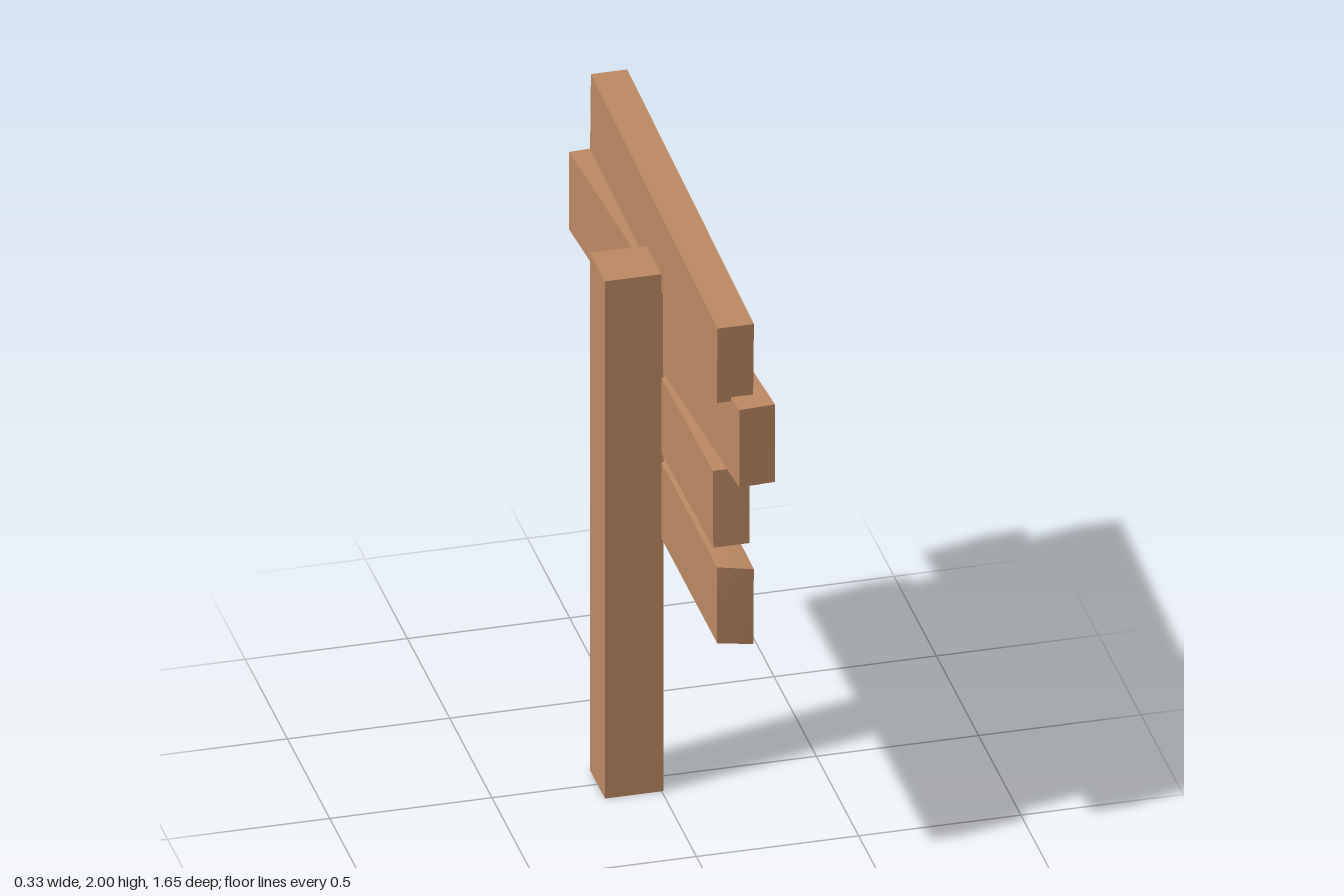
import * as THREE from 'three';

const wood = new THREE.MeshStandardMaterial({ color: 0xbe8a64 });
wood.name = 'wood';
const facing = new THREE.MeshStandardMaterial({ color: 0xc8c8c8 });
facing.name = 'pale facing';
const paint = new THREE.MeshStandardMaterial({ color: 0x0e0e0e });
paint.name = 'black paint';

const THICK = 0.112, MID_X = 0.055;
// Painted rectangle shared by all boards
const PANEL = { z0: -0.575, z1: 0.61, y0: 0.977, y1: 1.785 };

// tilt leans the board in its own plane, yaw swings it about the post;
// a twisted board tilts only its front face
const boards = [
  { name: 'topBoard', y: 1.843, z: 0, length: 1.5, height: 0.26, tilt: 0.0365, yaw: 0 },
  { name: 'upperBoard', y: 1.567, z: 0, length: 1.65, height: 0.265, tilt: 0, yaw: 0.058 },
  { name: 'lowerBoard', y: 1.285, z: 0.009, length: 1.384, height: 0.26, tilt: -0.019, yaw: 0 },
  { name: 'bottomBoard', y: 0.996, z: 0, length: 1.5, height: 0.26, tilt: 0.027, yaw: 0, twisted: true },
];

function makeBoard(b) {
  const geo = new THREE.BoxGeometry(THICK, b.height, b.length);
  const p = geo.attributes.position;
  const v = new THREE.Vector3();
  const xAxis = new THREE.Vector3(1, 0, 0), yAxis = new THREE.Vector3(0, 1, 0);
  for (let i = 0; i < p.count; i++) {
    v.fromBufferAttribute(p, i);
    if (!b.twisted || v.x > 0) v.applyAxisAngle(xAxis, b.tilt);
    v.applyAxisAngle(yAxis, b.yaw);
    p.setXYZ(i, v.x + MID_X, v.y + b.y, v.z + b.z);
  }
  geo.computeVertexNormals();
  // The first box side is the +x face
  const mesh = new THREE.Mesh(geo, [facing, wood, wood, wood, wood, wood]);
  mesh.name = b.name;
  return mesh;
}

// Patch of the painted panel, cut to the outline of one board
function makePaint(b) {
  const half = b.height / 2 / Math.cos(b.tilt);
  const corner = (z, side) => {
    const edge = b.y - Math.tan(b.tilt) * (z - b.z) + side * half;
    const y = side > 0 ? Math.min(PANEL.y1, edge) : Math.max(PANEL.y0, edge);
    const x = MID_X + THICK / 2 / Math.cos(b.yaw) + Math.tan(b.yaw) * z + 0.003;
    return [x, y, z];
  };
  const { z0, z1 } = PANEL;
  const geo = new THREE.BufferGeometry();
  geo.setAttribute('position', new THREE.Float32BufferAttribute(
    [corner(z1, -1), corner(z0, -1), corner(z0, 1), corner(z1, 1)].flat(), 3));
  geo.setIndex([0, 1, 2, 0, 2, 3]);
  geo.computeVertexNormals();
  const mesh = new THREE.Mesh(geo, paint);
  mesh.name = b.name + 'Paint';
  return mesh;
}

export function createModel() {
  const sign = new THREE.Group();
  sign.name = 'woodenSign';

  // Upright post behind the boards
  const post = new THREE.Mesh(new THREE.BoxGeometry(0.18, 1.77, 0.18), wood);
  post.name = 'post';
  post.position.set(-0.085, 0.885, 0);
  sign.add(post);

  // Crooked boards with their painted patches
  for (const b of boards) sign.add(makeBoard(b), makePaint(b));
  return sign;
}
